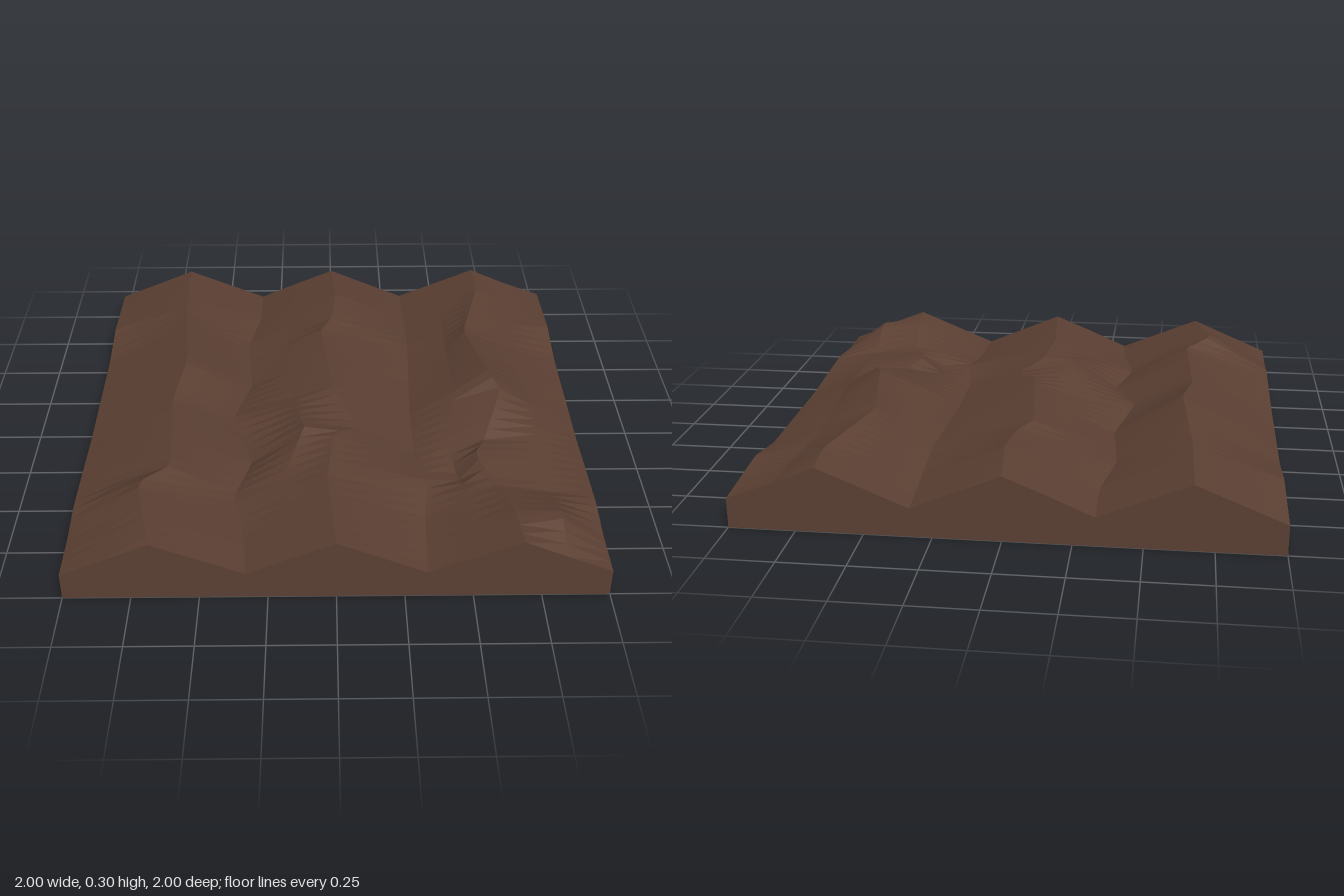
import * as THREE from 'three';

const ROWS = 40;

// Furrow lines running back to front; every point is [z, x, y]
const edge = (x) => [[-1, x, 0.115], [-0.65, x, 0.14], [-0.43, x, 0.105], [0.17, x, 0.105],
  [0.63, x, 0.13], [0.8, x, 0.11], [1, x, 0.11]];
const ridgeRight = [[-1, 0.67, 0.25], [-0.82, 0.68, 0.255], [-0.42, 0.58, 0.265], [-0.02, 0.65, 0.3],
  [0.06, 0.69, 0.27], [0.3, 0.6, 0.19], [0.42, 0.55, 0.21], [0.58, 0.62, 0.19], [0.83, 0.66, 0.245], [1, 0.67, 0.25]];
const ridgeMiddle = [[-1, 0, 0.25], [-0.75, 0.02, 0.265], [-0.56, 0, 0.255], [-0.45, -0.05, 0.255],
  [0.02, 0, 0.25], [0.24, 0.1, 0.21], [0.32, 0, 0.25], [0.6, -0.03, 0.25], [1, 0, 0.25]];
const ridgeLeft = [[-1, -0.67, 0.25], [-0.6, -0.66, 0.255], [-0.17, -0.62, 0.28], [0.08, -0.66, 0.255],
  [0.54, -0.63, 0.255], [0.67, -0.74, 0.275], [1, -0.67, 0.25]];
const valleyLeft = [[-1, -0.33, 0.11], [-0.77, -0.33, 0.12], [-0.52, -0.38, 0.125], [-0.21, -0.35, 0.12],
  [0.08, -0.42, 0.14], [0.35, -0.33, 0.12], [0.57, -0.39, 0.125], [0.82, -0.34, 0.115], [1, -0.33, 0.11]];
const valleyRight = [[-1, 0.33, 0.11], [-0.5, 0.34, 0.14], [0, 0.32, 0.13], [0.3, 0.32, 0.13],
  [0.51, 0.36, 0.145], [0.7, 0.34, 0.12], [1, 0.33, 0.11]];

// Uneven shoulders on the slopes
const shoulderMiddle = [[-1, -0.17, 0.18], [-0.4, -0.2, 0.19], [0, -0.17, 0.2], [0.3, -0.12, 0.26],
  [0.55, -0.2, 0.19], [1, -0.17, 0.18]];
const notch = [[-1, 0.5, 0.18], [0, 0.5, 0.22], [0.3, 0.46, 0.16], [0.48, 0.48, 0.135],
  [0.57, 0.5, 0.17], [0.83, 0.5, 0.18], [1, 0.5, 0.18]];
const shoulderRight = [[-1, 0.83, 0.18], [-0.42, 0.79, 0.18], [0.06, 0.82, 0.19], [0.6, 0.82, 0.16],
  [0.83, 0.83, 0.24], [1, 0.83, 0.18]];

// null marks a plain slope halfway between its neighbours
const lines = [edge(-1), null, ridgeLeft, null, valleyLeft, shoulderMiddle, ridgeMiddle, null,
  valleyRight, notch, ridgeRight, shoulderRight, edge(1)];

function sample(line, z) {
  let i = 0;
  while (i < line.length - 2 && z > line[i + 1][0]) i++;
  const [a, b] = [line[i], line[i + 1]];
  const t = (z - a[0]) / (b[0] - a[0]);
  return new THREE.Vector3(a[1] + (b[1] - a[1]) * t, a[2] + (b[2] - a[2]) * t, z);
}

// Grid of points to a surface; rows of equal length
function surface(rows, name, material) {
  const n = rows[0].length;
  const index = [];
  for (let r = 0; r < rows.length - 1; r++) {
    for (let c = 0; c < n - 1; c++) {
      const a = r * n + c, b = a + n;
      index.push(a, b, a + 1, b, b + 1, a + 1);
    }
  }
  const geometry = new THREE.BufferGeometry().setFromPoints(rows.flat());
  geometry.setIndex(index);
  const flat = geometry.toNonIndexed();
  flat.computeVertexNormals();
  const mesh = new THREE.Mesh(flat, material);
  mesh.name = name;
  return mesh;
}

export function createModel() {
  const group = new THREE.Group();
  group.name = 'ploughedSoil';
  const soil = new THREE.MeshStandardMaterial({ color: 0x5c4033, flatShading: true, side: THREE.DoubleSide });

  // Ridged top
  const rows = [];
  for (let r = 0; r <= ROWS; r++) {
    const z = -1 + (2 * r) / ROWS;
    const row = lines.map((line) => line && sample(line, z));
    rows.push(row.map((p, i) => p || row[i - 1].clone().lerp(row[i + 1], 0.5)));
  }
  group.add(surface(rows, 'furrows', soil));

  // Side walls down to the ground, open underneath
  const wall = (top, name) =>
    group.add(surface([top, top.map((p) => new THREE.Vector3(p.x, 0, p.z))], name, soil));
  wall(rows[ROWS], 'frontWall');
  wall([...rows[0]].reverse(), 'backWall');
  wall(rows.map((row) => row[0]), 'rightWall');
  wall(rows.map((row) => row[row.length - 1]).reverse(), 'leftWall');
  return group;
}
